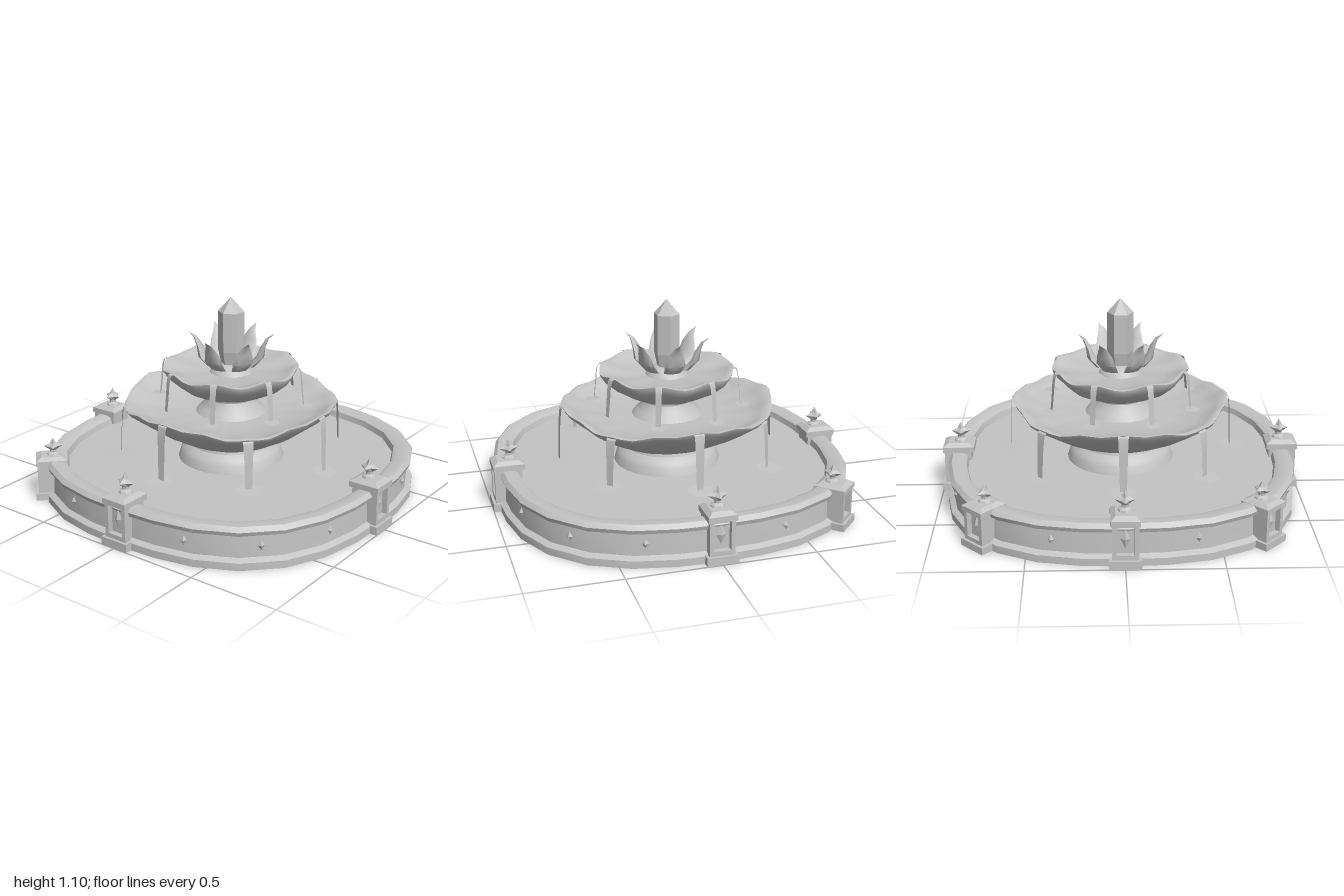
import * as THREE from 'three';
import { toCreasedNormals } from 'three/addons/utils/BufferGeometryUtils.js';

const stone = new THREE.MeshStandardMaterial({ color: 0xc4c4c4, side: THREE.DoubleSide });
stone.name = 'pale grey stone';

function part(parent, name, geometry, crease = 0.6) {
  const mesh = new THREE.Mesh(toCreasedNormals(geometry, crease), stone);
  mesh.name = name;
  parent.add(mesh);
  return mesh;
}

function group(parent, name) {
  const g = new THREE.Group();
  g.name = name;
  parent.add(g);
  return g;
}

function box(parent, name, w, h, d, x, y, z) {
  const mesh = part(parent, name, new THREE.BoxGeometry(w, h, d), 0.1);
  mesh.position.set(x, y, z);
  return mesh;
}

const lathe = (pts, segs) =>
  new THREE.LatheGeometry(pts.map(([r, y]) => new THREE.Vector2(r, y)), segs);

// Move every vertex by a rule on its radius, height and angle
function warp(geometry, rule) {
  const p = geometry.attributes.position;
  for (let i = 0; i < p.count; i++) {
    const x = p.getX(i), z = p.getZ(i), a = Math.atan2(x, z);
    const [r, y] = rule(Math.hypot(x, z), p.getY(i), a);
    p.setXYZ(i, r * Math.sin(a), y, r * Math.cos(a));
  }
  return geometry;
}

// Basin plan: a circle swelling towards the diagonals
const swell = (a) => 1 + 0.08 * Math.sin(2 * a) ** 2;
const basinPlan = (r, y, a) => [r * swell(a), y];

// Falling water: a thin curved ribbon following [radius, height] points
function stream(parent, angle, path, wTop, wEnd, puddleR) {
  const g = group(parent, 'waterStream');
  const curve = new THREE.CatmullRomCurve3(path.map(([r, y]) => new THREE.Vector3(0, y, r)));
  const geo = new THREE.PlaneGeometry(1, 1, 1, 10);
  const p = geo.attributes.position;
  for (let i = 0; i < p.count; i++) {
    const t = 0.5 - p.getY(i), c = curve.getPoint(t);
    p.setXYZ(i, p.getX(i) * (wTop + (wEnd - wTop) * t), c.y, c.z);
  }
  part(g, 'fallingWater', geo);
  const [r, y] = path[path.length - 1];
  const puddle = part(g, 'splash', new THREE.CircleGeometry(puddleR, 5).rotateX(-Math.PI / 2).rotateY(Math.PI / 2));
  puddle.position.set(0, y, r + 0.01);
  puddle.rotation.x = 0.08;
  g.rotation.y = angle;
}

// Four-pointed star finial
function finialGeometry() {
  const geo = lathe([[0.04, 0], [0.035, 0.012], [0.018, 0.022], [0.018, 0.035], [0.052, 0.06],
    [0.02, 0.075], [0.012, 0.09], [0, 0.112]], 8);
  return warp(geo, (r, y, a) => [r * (y > 0.04 && Math.abs(Math.sin(2 * a)) > 0.5 ? 0.55 : 1), y]);
}

// Lantern pillar, facing outwards along local +z
function pillar(parent, angle, offset, scaleY) {
  const g = group(parent, 'lanternPillar');
  box(g, 'pillarBase', 0.165, 0.045, 0.18, 0, 0.0225, 0.91);
  box(g, 'pillarShaft', 0.13, 0.2, 0.12, 0, 0.14, 0.895);
  const frame = new THREE.Shape([[-0.067, 0.045], [0.067, 0.045], [0.067, 0.25], [-0.067, 0.25]]
    .map(([x, y]) => new THREE.Vector2(x, y)));
  frame.holes.push(new THREE.Path([[-0.045, 0.07], [-0.045, 0.232], [0.045, 0.232], [0.045, 0.07]]
    .map(([x, y]) => new THREE.Vector2(x, y))));
  part(g, 'windowFrame', new THREE.ExtrudeGeometry(frame, { depth: 0.03, bevelEnabled: false }), 0.1)
    .position.z = 0.955;
  const gem = part(g, 'windowDiamond', new THREE.OctahedronGeometry(1), 0.1);
  gem.scale.set(0.026, 0.055, 0.015);
  gem.position.set(0, 0.15, 0.957);
  box(g, 'pillarCap', 0.15, 0.03, 0.172, 0, 0.245, 0.906);
  const roof = part(g, 'capSlope', new THREE.CylinderGeometry(0.07, 0.104, 0.018, 4).rotateY(Math.PI / 4), 0.1);
  roof.scale.z = 1.15;
  roof.position.set(0, 0.269, 0.906);
  part(g, 'finial', finialGeometry(), 0.2).position.set(0, 0.275, 0.895);
  g.rotation.y = angle;
  g.position.set(Math.sin(angle) * offset, 0, Math.cos(angle) * offset);
  g.scale.y = scaleY;
}

// Keeled lotus petal; rows of radius, height, half width, thickness from the tip down
function petalGeometry() {
  const rows = [[0.238, 0.9, 0, 0], [0.198, 0.868, 0.022, 0.008], [0.175, 0.82, 0.046, 0.014],
    [0.16, 0.765, 0.06, 0.022], [0.115, 0.715, 0.048, 0.022], [0.05, 0.69, 0.02, 0.01]];
  const geo = new THREE.CylinderGeometry(1, 1, 1, 8, rows.length - 1, true);
  const p = geo.attributes.position;
  for (let i = 0; i < p.count; i++) {
    const [r, y, w, t] = rows[Math.floor(i / 9)];
    p.setXYZ(i, p.getX(i) * w, y, r + p.getZ(i) * t);
  }
  return geo;
}

export function createModel() {
  const model = new THREE.Group();
  model.name = 'fountain';
  const eighth = Math.PI / 4;

  // Basin wall with rounded rim, and the pool inside
  const basin = group(model, 'basin');
  part(basin, 'basinWall', warp(lathe([[0.9, 0], [0.965, 0], [0.965, 0.04], [0.935, 0.055], [0.93, 0.17],
    [0.952, 0.18], [0.96, 0.203], [0.94, 0.225], [0.885, 0.225], [0.86, 0.212], [0.85, 0.175],
    [0.9, 0.17], [0.9, 0]], 28), basinPlan));
  part(basin, 'pool', warp(lathe([[0.87, 0.18], [0, 0.18]], 28), basinPlan));
  box(basin, 'crossBeam', 1.7, 0.125, 0.13, 0, 0.1125, 0);

  // Diamond studs between the pillars
  for (let i = 0; i < 16; i++) {
    const a = i * eighth / 2;
    if (i % 4 === 0 || i === 6 || i === 10) continue;
    const stud = part(basin, 'wallStud', new THREE.OctahedronGeometry(1), 0.1);
    const r = 0.93 * swell(a);
    stud.scale.set(0.018, 0.027, 0.015);
    stud.position.set(r * Math.sin(a), 0.12, r * Math.cos(a));
    stud.rotation.y = a;
  }

  // Four main pillars and two lower ones at the back corners
  for (let i = 0; i < 4; i++) pillar(model, i * Math.PI / 2, 0, 1);
  for (const s of [-1, 1]) pillar(model, s * 3 * eighth, 0.1, 0.87);

  // Lower tier
  const lower = group(model, 'lowerTier');
  part(lower, 'lowerPedestal', lathe([[0.3, 0.17], [0.285, 0.22], [0.27, 0.245], [0.235, 0.27], [0.225, 0.3]], 28));
  part(lower, 'lowerBowl', warp(lathe([[0, 0.29], [0.22, 0.29], [0.31, 0.32], [0.42, 0.38], [0.52, 0.45],
    [0.58, 0.5], [0.588, 0.518], [0.57, 0.522], [0.53, 0.495], [0.45, 0.465], [0.3, 0.45], [0, 0.45]], 64),
  (r, y, a) => {
    const w = (r / 0.588) ** 4;
    return [r * (1 + 0.012 * w * Math.cos(8 * a)), y + w * (0.02 * Math.cos(4 * a) + 0.006 * Math.cos(16 * a))];
  }), 1);
  for (let i = 0; i < 8; i++) {
    const y = i % 2 ? 0.495 : 0.54;
    stream(lower, i * eighth, [[0.555, y - 0.01], [0.595, y], [0.608, y - 0.06], [0.613, 0.36], [0.618, 0.24]],
      0.062, 0.036, 0.075);
  }

  // Upper tier
  const upper = group(model, 'upperTier');
  part(upper, 'upperPedestal', lathe([[0.2, 0.445], [0.17, 0.48], [0.15, 0.5], [0.135, 0.53], [0.14, 0.56]], 24));
  part(upper, 'upperBowl', warp(lathe([[0, 0.55], [0.13, 0.55], [0.21, 0.568], [0.29, 0.61], [0.345, 0.66],
    [0.37, 0.7], [0.372, 0.712], [0.36, 0.715], [0.335, 0.702], [0.25, 0.68], [0, 0.675]], 64),
  (r, y, a) => {
    const w = (r / 0.372) ** 4;
    return [r * (1 + 0.012 * w * Math.cos(8 * a)), y - w * 0.01 * Math.cos(8 * a)];
  }), 1);
  for (let i = 0; i < 8; i++) {
    stream(upper, (i + 0.5) * eighth, [[0.345, 0.712], [0.378, 0.722], [0.392, 0.69], [0.4, 0.61], [0.41, 0.515]],
      0.038, 0.028, 0.045);
  }

  // Lotus with a six-sided crystal
  const lotus = group(model, 'lotus');
  part(lotus, 'lotusHeart', lathe([[0.12, 0.675], [0.1, 0.705], [0.06, 0.725], [0, 0.73]], 18), 1);
  for (let i = 0; i < 6; i++) {
    part(lotus, 'petal', petalGeometry(), 0.7).rotation.y = Math.PI / 2 + i * Math.PI / 3;
  }
  const crystal = lathe([[0.05, 0.7], [0.072, 0.8], [0.072, 1.02], [0, 1.1]], 6);
  part(lotus, 'crystal', crystal.rotateY(Math.PI / 6), 0.1);

  return model;
}
